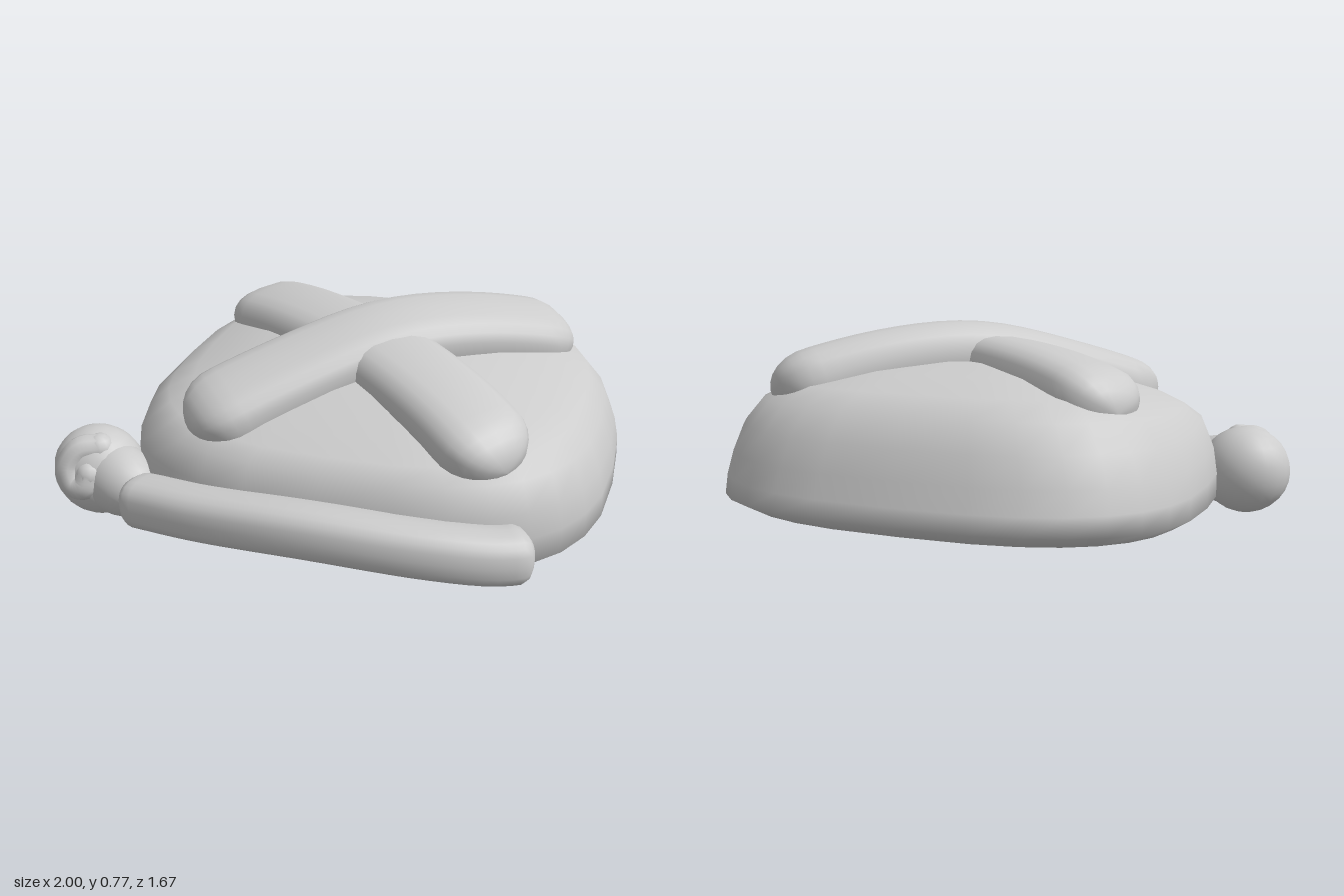
import * as THREE from 'three';

const dough = new THREE.MeshStandardMaterial({ color: 0xcccccc });
dough.name = 'plain dough grey';

// Skin closed rings of points, close both ends with a fan
function loft(rings) {
  const n = rings[0].length, pos = [], idx = [];
  rings.forEach((r) => r.forEach((p) => pos.push(p.x, p.y, p.z)));
  for (let i = 0; i < rings.length - 1; i++) {
    for (let j = 0; j < n; j++) {
      const a = i * n + j, b = i * n + (j + 1) % n;
      idx.push(a, b, a + n, b, b + n, a + n);
    }
  }
  [0, rings.length - 1].forEach((k, end) => {
    const c = new THREE.Vector3();
    rings[k].forEach((p) => c.addScaledVector(p, 1 / n));
    const ci = pos.length / 3;
    pos.push(c.x, c.y, c.z);
    for (let j = 0; j < n; j++) {
      const a = k * n + j, b = k * n + (j + 1) % n;
      if (end) idx.push(a, b, ci); else idx.push(b, a, ci);
    }
  });
  const g = new THREE.BufferGeometry();
  g.setAttribute('position', new THREE.Float32BufferAttribute(pos, 3));
  // Make the faces point outward
  const v = (i) => new THREE.Vector3().fromArray(pos, i * 3);
  let vol = 0;
  for (let i = 0; i < idx.length; i += 3) vol += v(idx[i]).dot(v(idx[i + 1]).cross(v(idx[i + 2])));
  if (vol < 0) idx.reverse();
  g.setIndex(idx);
  g.computeVertexNormals();
  return g;
}

// Point on a superellipse with power p
function superPoint(angle, p) {
  const c = Math.cos(angle), s = Math.sin(angle);
  return [Math.sign(c) * Math.abs(c) ** (2 / p), Math.sign(s) * Math.abs(s) ** (2 / p)];
}

// Rounded roll along a path with blunt rounded ends; bank tips its front edge down
function roll(points, { halfWidth, halfHeight, power, endLength, bank }) {
  const curve = new THREE.CatmullRomCurve3(points.map((p) => new THREE.Vector3(...p)));
  const up = new THREE.Vector3(0, 1, 0), rings = [];
  const steps = 32, sides = 20, length = curve.getLength();
  for (let i = 0; i <= steps; i++) {
    const t = (1 - Math.cos((Math.PI * i) / steps)) / 2;
    const c = curve.getPointAt(t), tangent = curve.getTangentAt(t);
    const side = new THREE.Vector3().crossVectors(tangent, up).normalize();
    side.applyAxisAngle(tangent, bank);
    const normal = new THREE.Vector3().crossVectors(side, tangent);
    const d = Math.min(1, (Math.min(t, 1 - t) * length) / endLength);
    const k = Math.max(0.03, Math.sqrt(1 - (1 - d) ** 2));
    rings.push(Array.from({ length: sides }, (_, j) => {
      const [u, v] = superPoint((j / sides) * Math.PI * 2, power);
      return c.clone().addScaledVector(side, u * halfWidth * k).addScaledVector(normal, v * halfHeight * k);
    }));
  }
  return loft(rings);
}

export function createModel() {
  const model = new THREE.Group();
  model.name = 'crossBun';
  const add = (name, geometry, parent = model) => {
    const m = new THREE.Mesh(geometry, dough);
    m.name = name;
    parent.add(m);
    return m;
  };

  // Bun body: rounded-square rings [y, tilt along z, centre z, half x, half z]
  const layers = [
    [0.073, -0.04, -0.045, 0.45, 0.38],
    [0.074, -0.04, -0.045, 0.74, 0.62],
    [0.09, -0.05, -0.06, 0.82, 0.69],
    [0.135, -0.055, -0.075, 0.89, 0.765],
    [0.22, -0.03, -0.063, 0.888, 0.76],
    [0.31, -0.02, -0.05, 0.872, 0.745],
    [0.41, -0.02, -0.05, 0.83, 0.715],
    [0.475, -0.07, -0.05, 0.765, 0.65],
    [0.525, -0.09, -0.045, 0.67, 0.565],
    [0.585, -0.08, -0.04, 0.45, 0.38],
    [0.625, -0.06, -0.04, 0.2, 0.17],
  ];
  add('bunBody', loft(layers.map(([y, tilt, cz, rx, rz]) =>
    Array.from({ length: 32 }, (_, j) => {
      const [u, v] = superPoint((j / 32) * Math.PI * 2, 2.75);
      const z = cz + v * rz;
      return new THREE.Vector3(0.11 + u * rx, y + tilt * z, z);
    }))));

  // Crossed strips on top: crest heights along the strip, [t, y] with t from -1 to 1
  const strip = (name, cx, cz, dx, dz, bank, crest) => add(name, roll(
    crest.map(([t, y]) => [cx + dx * t, y - 0.12, cz + dz * t]),
    { halfWidth: 0.172, halfHeight: 0.12, power: 2.7, endLength: 0.16, bank }));
  strip('upperCrossStrip', 0.157, 0.02, 0.574, -0.505, 0.22, [
    [-1, 0.54], [-0.85, 0.585], [-0.55, 0.66], [-0.1, 0.75], [0.15, 0.765], [0.5, 0.74], [0.85, 0.68], [1, 0.64]]);
  strip('lowerCrossStrip', 0.08, 0.04, 0.624, 0.468, 0.14, [
    [-1, 0.64], [-0.8, 0.675], [-0.5, 0.705], [0, 0.715], [0.35, 0.69], [0.65, 0.64], [0.85, 0.585], [1, 0.54]]);

  // Roll bent around the front edge
  add('frontRoll', roll([
    [-0.62, 0.17, 0.62], [-0.3, 0.205, 0.7], [0.1, 0.23, 0.735],
    [0.5, 0.21, 0.7], [0.7, 0.19, 0.64], [0.81, 0.185, 0.575]],
  { halfWidth: 0.095, halfHeight: 0.092, power: 2.6, endLength: 0.06, bank: 0 }));

  // Side knob with its neck and a curl on the front
  const knob = new THREE.Group();
  knob.name = 'sideKnob';
  model.add(knob);
  const ball = add('knobBall', new THREE.SphereGeometry(1, 20, 14), knob);
  ball.scale.set(0.175, 0.17, 0.152);
  ball.position.set(-0.825, 0.172, 0.452);
  const neck = add('knobNeck', new THREE.SphereGeometry(1, 18, 14), knob);
  neck.scale.set(0.2, 0.135, 0.125);
  neck.position.set(-0.74, 0.16, 0.48);
  neck.rotation.y = -0.5;
  const curl = new THREE.CatmullRomCurve3([
    [-0.79, 0.285, 0.5], [-0.855, 0.275, 0.53], [-0.885, 0.215, 0.555],
    [-0.86, 0.16, 0.57], [-0.82, 0.165, 0.572], [-0.805, 0.205, 0.56]].map((p) => new THREE.Vector3(...p)));
  add('knobCurl', new THREE.TubeGeometry(curl, 24, 0.055, 10), knob);
  [0, 1].forEach((t) => {
    const tip = add('curlTip', new THREE.SphereGeometry(0.055, 12, 8), knob);
    tip.position.copy(curl.getPoint(t));
  });

  return model;
}
